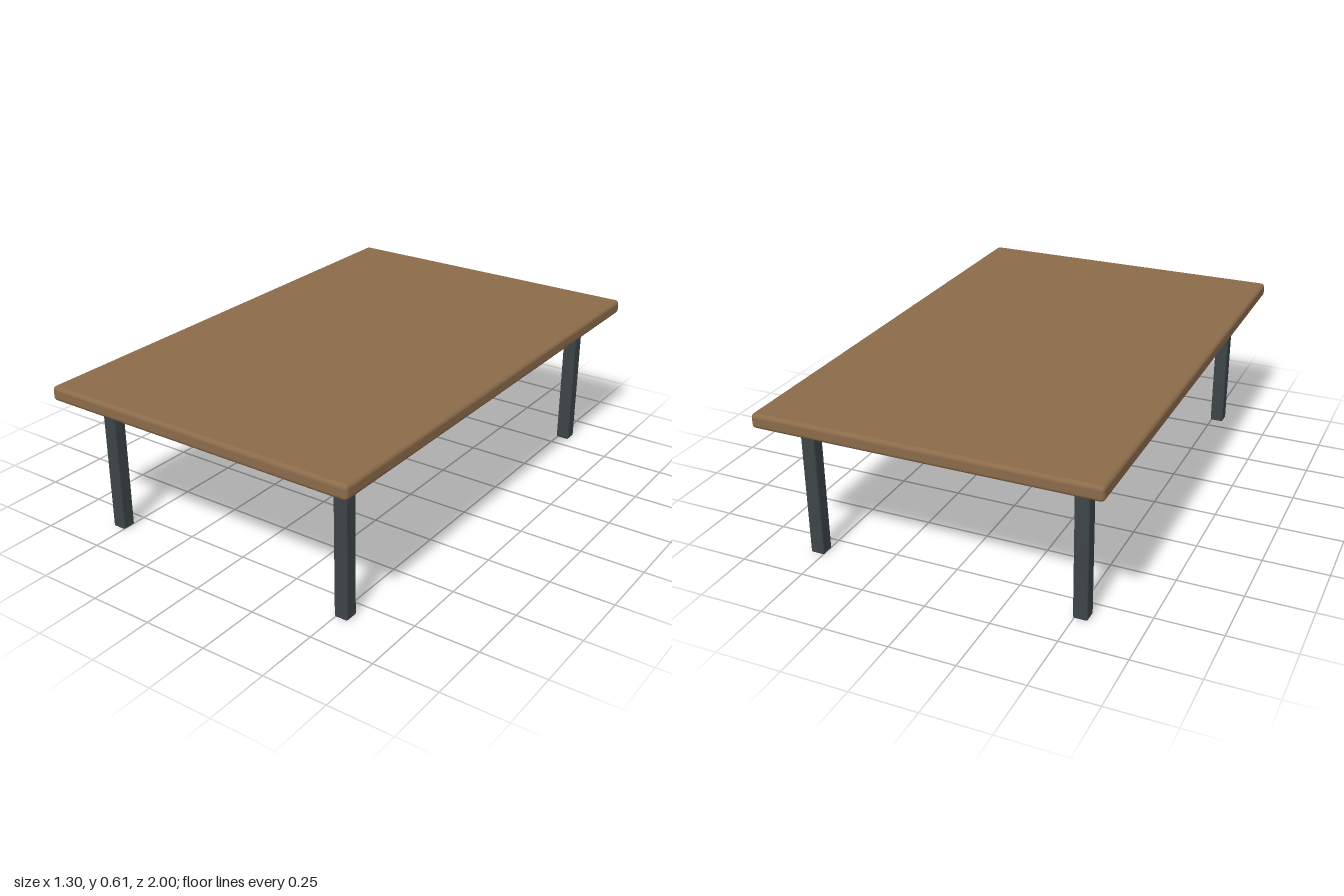
import * as THREE from 'three';
import { RoundedBoxGeometry } from 'three/addons/geometries/RoundedBoxGeometry.js';

const TOP = { width: 1.3, height: 0.057, depth: 2, radius: 0.016 };
const LEG = { size: 0.055, height: 0.557, radius: 0.007, x: 0.523, z: 0.833 };

export function createModel() {
  const table = new THREE.Group();
  table.name = 'table';
  const wood = new THREE.MeshStandardMaterial({ color: 0x8b6b4a });
  const metal = new THREE.MeshStandardMaterial({ color: 0x3d4547 });

  // Slab with softened edges
  const top = new THREE.Mesh(
    new RoundedBoxGeometry(TOP.width, TOP.height, TOP.depth, 4, TOP.radius), wood);
  top.name = 'tableTop';
  top.position.y = LEG.height + TOP.height / 2;
  table.add(top);

  // Four square legs, mirrored to the corners
  const legGeometry = new RoundedBoxGeometry(LEG.size, LEG.height, LEG.size, 4, LEG.radius);
  for (const [side, sx] of [['Left', 1], ['Right', -1]]) {
    for (const [end, sz] of [['front', 1], ['back', -1]]) {
      const leg = new THREE.Mesh(legGeometry, metal);
      leg.name = `${end}${side}Leg`;
      leg.position.set(sx * LEG.x, LEG.height / 2, sz * LEG.z);
      table.add(leg);
    }
  }
  return table;
}
